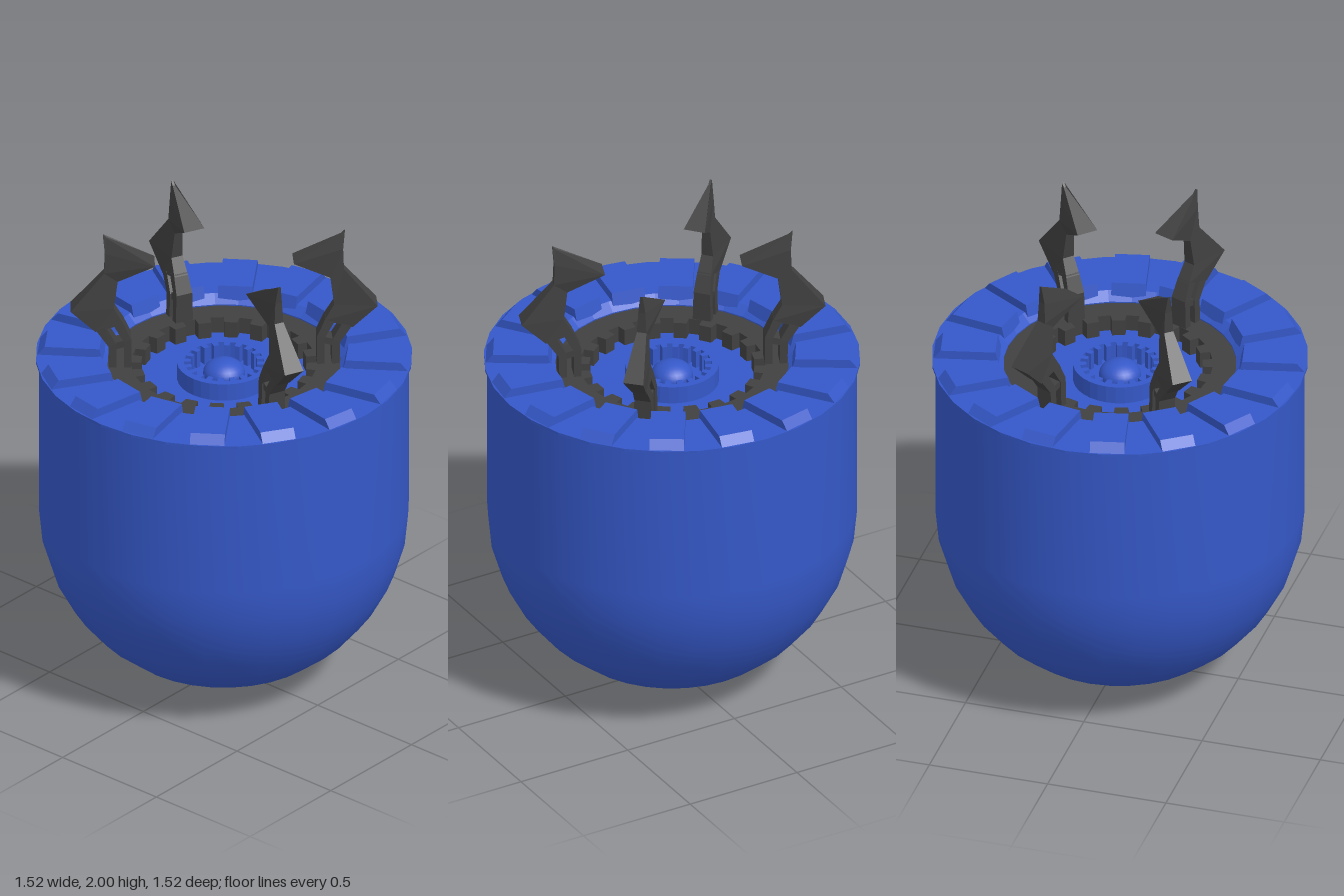
import * as THREE from 'three';

const blue = new THREE.MeshStandardMaterial({ color: 0x3558c8 });
const blueFlat = new THREE.MeshStandardMaterial({ color: 0x3558c8, flatShading: true });
const dark = new THREE.MeshStandardMaterial({ color: 0x404040, flatShading: true });

function add(parent, name, geometry, material) {
  const mesh = new THREE.Mesh(geometry, material);
  mesh.name = name;
  parent.add(mesh);
  return mesh;
}

const lathe = (points, sides) =>
  new THREE.LatheGeometry(points.map(([r, y]) => new THREE.Vector2(r, y)), sides);

// Four-sided loft; each section is [inner r, y, width, outer r, y, width], bottom to top
function loft(sections) {
  const pos = [], index = [];
  for (const [ri, yi, wi, ro, yo, wo] of sections) {
    pos.push(ri, yi, wi / 2, ro, yo, wo / 2, ro, yo, -wo / 2, ri, yi, -wi / 2);
  }
  const quad = (a, b, c, d) => index.push(a, b, c, a, c, d);
  for (let s = 0; s < sections.length - 1; s++) {
    for (let k = 0; k < 4; k++) {
      const a = s * 4 + k, b = s * 4 + (k + 1) % 4;
      quad(a, b, b + 4, a + 4);
    }
  }
  const t = (sections.length - 1) * 4;
  quad(3, 2, 1, 0);
  quad(t, t + 1, t + 2, t + 3);
  const indexed = new THREE.BufferGeometry();
  indexed.setAttribute('position', new THREE.Float32BufferAttribute(pos, 3));
  indexed.setIndex(index);
  const g = indexed.toNonIndexed();
  g.computeVertexNormals();
  return g;
}

// Ring with teeth pointing inward, standing from y0 to y1
function toothedRing(outer, notch, tip, teeth, y0, y1) {
  const shape = new THREE.Shape().absarc(0, 0, outer, 0, Math.PI * 2);
  const hole = [];
  const step = (Math.PI * 2) / teeth;
  for (let i = 0; i < teeth; i++) {
    for (const [f, r] of [[-0.27, notch], [-0.25, tip], [0.25, tip], [0.27, notch]]) {
      const a = (i + f) * step;
      hole.push(new THREE.Vector2(r * Math.cos(a), r * Math.sin(a)));
    }
  }
  shape.holes.push(new THREE.Path(hole.reverse()));
  const g = new THREE.ExtrudeGeometry(shape, { depth: y1 - y0, bevelEnabled: false, curveSegments: 16 });
  return g.rotateX(-Math.PI / 2).translate(0, y0, 0);
}

function makeClaw() {
  const claw = new THREE.Group();
  claw.name = 'claw';
  // Two bent struts joined by a crossbar
  add(claw, 'innerStrut', loft([
    [0.375, 1.35, 0.08, 0.405, 1.35, 0.08],
    [0.375, 1.53, 0.07, 0.405, 1.52, 0.07],
    [0.41, 1.61, 0.06, 0.45, 1.6, 0.06],
  ]), dark);
  add(claw, 'outerStrut', loft([
    [0.435, 1.38, 0.08, 0.465, 1.38, 0.08],
    [0.435, 1.51, 0.07, 0.468, 1.5, 0.07],
    [0.48, 1.59, 0.06, 0.52, 1.575, 0.06],
  ]), dark);
  add(claw, 'crossbar', loft([
    [0.385, 1.5, 0.06, 0.455, 1.48, 0.06],
    [0.385, 1.53, 0.06, 0.455, 1.51, 0.06],
  ]), dark);
  // Elbow, narrow neck and pointed head
  add(claw, 'clawHead', loft([
    [0.405, 1.6, 0.06, 0.52, 1.565, 0.06],
    [0.445, 1.67, 0.05, 0.62, 1.665, 0.085],
    [0.43, 1.79, 0.035, 0.485, 1.83, 0.04],
    [0.28, 1.875, 0.09, 0.482, 1.92, 0.03],
    [0.475, 1.985, 0.01, 0.49, 2.0, 0.01],
  ]), dark);
  return claw;
}

export function createModel() {
  const model = new THREE.Group();
  model.name = 'clawedPod';

  // Round-bottomed shell
  const profile = [];
  for (let i = 0; i <= 8; i++) {
    const a = (i / 8) * Math.PI / 2;
    profile.push([0.75 * Math.sin(a), 0.755 - 0.75 * Math.cos(a)]);
  }
  profile[0][1] = 0;
  profile.push([0.75, 1.435]);
  add(model, 'shell', lathe(profile, 32), blue);

  // Lip and top rim, dropping to the inner wall
  add(model, 'rim', lathe([
    [0.75, 1.43], [0.762, 1.432], [0.762, 1.443],
    [0.51, 1.443], [0.472, 1.41], [0.472, 1.33],
  ], 32), blueFlat);

  // Raised blocks around the rim
  for (let i = 0; i < 16; i++) {
    const block = add(model, 'rimBlock', loft([
      [0.485, 1.42, 0.14, 0.752, 1.443, 0.14],
      [0.5, 1.48, 0.14, 0.722, 1.48, 0.14],
    ]), blueFlat);
    block.rotation.y = -THREE.MathUtils.degToRad(9.5 + i * 22.5);
  }

  // Dark toothed ring and the floor of the well
  add(model, 'toothedRing', toothedRing(0.475, 0.375, 0.335, 20, 1.33, 1.405), dark);
  const floor = add(model, 'wellFloor', new THREE.CylinderGeometry(0.475, 0.475, 0.02, 32), blueFlat);
  floor.position.y = 1.325;

  // Central hub with inner teeth and a low dome
  add(model, 'hub', toothedRing(0.19, 0.162, 0.135, 20, 1.33, 1.41), blueFlat);
  const dome = add(model, 'hubDome',
    new THREE.SphereGeometry(0.085, 24, 8, 0, Math.PI * 2, 0, Math.PI / 2), blue);
  dome.position.y = 1.36;
  dome.scale.y = 0.7;
  const collar = add(model, 'domeCollar', new THREE.CylinderGeometry(0.085, 0.085, 0.03, 24), blueFlat);
  collar.position.y = 1.345;

  // Claws
  for (const angle of [22, 139, 204, 315]) {
    const claw = makeClaw();
    claw.rotation.y = -THREE.MathUtils.degToRad(angle);
    model.add(claw);
  }
  return model;
}
